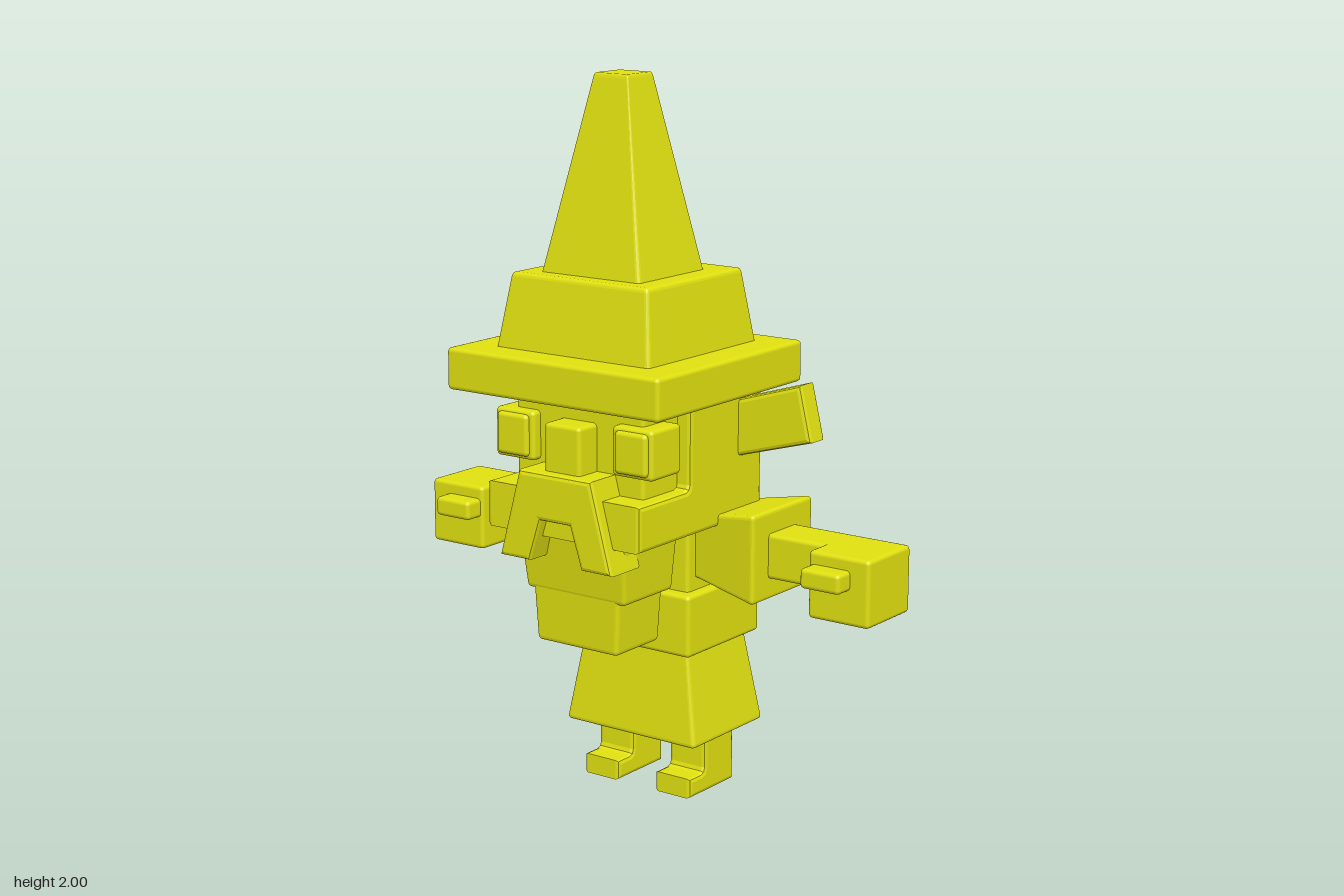
import * as THREE from 'three';
import { RoundedBoxGeometry } from 'three/addons/geometries/RoundedBoxGeometry.js';

const R = 0.012; // edge rounding

export function createModel() {
  const model = new THREE.Group();
  const yellow = new THREE.MeshStandardMaterial({ color: 0xe0e010 });
  yellow.name = 'yellow';

  function add(name, geometry) {
    const mesh = new THREE.Mesh(geometry, yellow);
    mesh.name = name;
    model.add(mesh);
    return mesh;
  }

  // Rounded block between y0 and y1; each end is [x0, x1, z0, z1]
  function block(name, y0, y1, bottom, top = bottom) {
    const w = Math.max(bottom[1] - bottom[0], top[1] - top[0]);
    const d = Math.max(bottom[3] - bottom[2], top[3] - top[2]);
    const h = y1 - y0;
    const geo = new RoundedBoxGeometry(w, h, d, 2, R);
    const p = geo.attributes.position;
    for (let i = 0; i < p.count; i++) {
      const t = p.getY(i) / h + 0.5;
      const [x0, x1, z0, z1] = bottom.map((v, k) => THREE.MathUtils.lerp(v, top[k], t));
      p.setXYZ(i,
        THREE.MathUtils.lerp(x0, x1, p.getX(i) / w + 0.5),
        y0 + t * h,
        THREE.MathUtils.lerp(z0, z1, p.getZ(i) / d + 0.5));
    }
    if (bottom !== top) geo.computeVertexNormals();
    return add(name, geo);
  }

  // Bevelled plate, centred on its thickness
  function plate(name, points, depth) {
    const shape = new THREE.Shape(points.map(([x, y]) => new THREE.Vector2(x, y)));
    const geo = new THREE.ExtrudeGeometry(shape, {
      depth: depth - 2 * R, bevelSize: R, bevelOffset: -R, bevelThickness: R, bevelSegments: 2,
    });
    geo.translate(0, 0, R - depth / 2);
    return add(name, geo);
  }

  // Plate whose outline is given as [z, y] and whose thickness runs along x
  function sidePlate(name, points, depth, x = 0) {
    const mesh = plate(name, points, depth);
    mesh.geometry.rotateY(-Math.PI / 2);
    mesh.position.x = x;
    return mesh;
  }

  // Hat
  block('hatTip', 1.44, 2.0, [-0.17, 0.17, -0.125, 0.18], [-0.055, 0.055, -0.03, 0.08]);
  block('hatCrown', 1.25, 1.475, [-0.257, 0.257, -0.238, 0.258], [-0.225, 0.225, -0.205, 0.222]);
  block('hatBrim', 1.16, 1.275, [-0.35, 0.35, -0.315, 0.345]);

  // Head with jutting cheeks and a recessed face
  sidePlate('head', [
    [-0.265, 0.79], [0.295, 0.79], [0.295, 0.915], [0.085, 0.915],
    [0.074, 0.92], [0.07, 0.93], [0.07, 1.18], [-0.265, 1.18],
  ], 0.51);
  block('face', 0.85, 1.18, [-0.212, 0.212, 0, 0.22]);
  block('nose', 0.9, 1.1, [-0.06, 0.06, 0.18, 0.295]);

  // Moustache and beard
  plate('moustache', [
    [-0.12, 0.97], [-0.187, 0.725], [-0.087, 0.725], [-0.05, 0.84],
    [0.05, 0.84], [0.087, 0.725], [0.187, 0.725], [0.12, 0.97],
  ], 0.135).position.z = 0.262;
  block('upperBeard', 0.62, 0.81, [-0.165, 0.165, 0.025, 0.24], [-0.18, 0.18, 0.015, 0.262]);
  block('lowerBeard', 0.475, 0.64, [-0.135, 0.135, 0.045, 0.235], [-0.145, 0.145, 0.04, 0.24]);

  // Body
  block('torso', 0.57, 0.84, [-0.17, 0.17, -0.31, -0.04]);
  block('belt', 0.42, 0.595, [-0.198, 0.198, -0.345, -0.005]);
  block('skirt', 0.165, 0.44, [-0.222, 0.222, -0.335, 0], [-0.175, 0.175, -0.302, -0.03]);

  for (const s of [1, -1]) {
    const side = s > 0 ? 'left' : 'right';
    const span = (a, b) => (s > 0 ? [a, b] : [-b, -a]);

    // Eye and ear
    block(side + 'Eye', 0.975, 1.11, [...span(0.13, 0.262), 0.12, 0.25]);
    block(side + 'Pupil', 0.985, 1.1, [...span(0.145, 0.25), 0.2, 0.262]);
    plate(side + 'Ear', [
      [s * 0.2, 1.11], [s * 0.45, 1.187], [s * 0.487, 1.035], [s * 0.2, 0.953],
    ], 0.072).position.z = -0.187;

    // Flared sleeve, widening outwards
    const sleeve = block(side + 'Sleeve', 0.14, 0.385,
      [-0.085, 0.085, -0.28, -0.08], [-0.125, 0.125, -0.325, -0.035]);
    sleeve.rotation.z = -s * Math.PI / 2;
    sleeve.position.y = 0.72;

    // Arm, hand and fingers
    block(side + 'Arm', 0.655, 0.78, [...span(0.34, 0.6), -0.248, -0.11]);
    block(side + 'Hand', 0.595, 0.78, [...span(0.557, 0.745), -0.248, -0.04]);
    block(side + 'Fingers', 0.69, 0.745, [...span(0.565, 0.687), -0.1, 0.015]);

    // Leg with toe
    sidePlate(side + 'Leg', [
      [-0.245, 0.003], [-0.035, 0.003], [-0.035, 0.06], [-0.09, 0.06],
      [-0.101, 0.064], [-0.105, 0.075], [-0.105, 0.2], [-0.245, 0.2],
    ], 0.122, s * 0.124);
  }

  return model;
}
